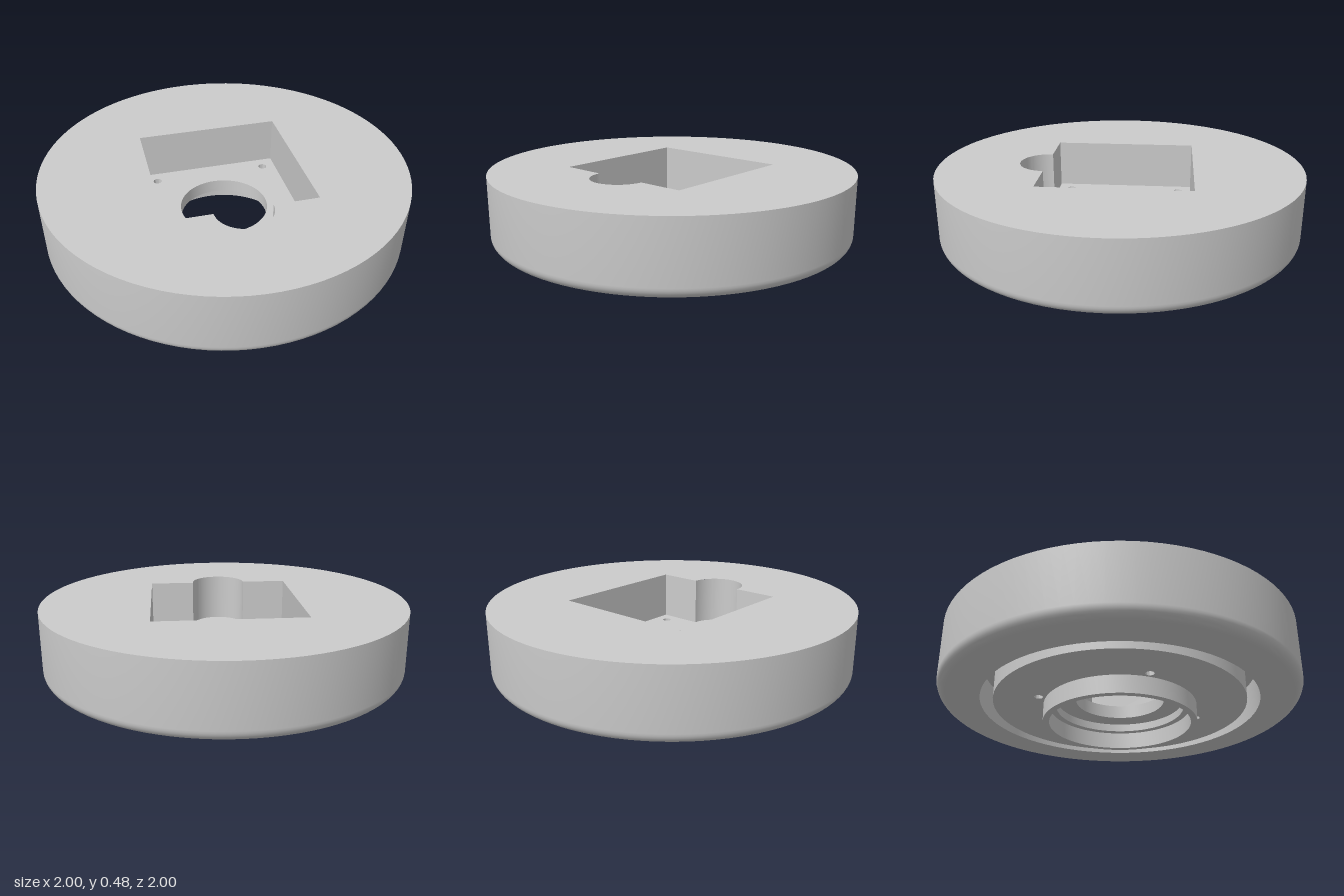
import * as THREE from 'three';
import { toCreasedNormals } from 'three/addons/utils/BufferGeometryUtils.js';

const TOP = 0.48, FLOOR = 0.213, BASE = 0.1;
const HOLE_R = 0.245, SCREW_R = 0.024, SCREW = 0.327, HALF = 0.403, NOTCH_R = 0.155;
const SEG = 96;

export function createModel() {
  const group = new THREE.Group();
  const material = new THREE.MeshStandardMaterial({ color: 0xcccccc });
  const add = (name, geometry) => {
    const mesh = new THREE.Mesh(geometry, material);
    mesh.name = name;
    group.add(mesh);
    return mesh;
  };

  // Turned surface with sharp corners; profile runs counterclockwise round the solid
  const turned = (points, segments = SEG) => toCreasedNormals(
    new THREE.LatheGeometry(points.map(([r, y]) => new THREE.Vector2(r, y)), segments), 0.5);

  // Flat horizontal face at height y, facing up or down
  const face = (shape, holes, y, up) => {
    shape.holes.push(...holes);
    return new THREE.ShapeGeometry(shape, SEG / 2)
      .rotateX(up ? -Math.PI / 2 : Math.PI / 2).translate(0, y, 0);
  };
  const circle = (r, x = 0, y = 0) => new THREE.Shape().absarc(x, y, r, 0, Math.PI * 2);
  const screwSpots = [[1, 1], [-1, 1], [-1, -1], [1, -1]].map(([a, b]) => [a * SCREW, b * SCREW]);
  const screwCircles = () => screwSpots.map(([x, y]) => circle(SCREW_R, x, y));

  // Square pocket outline with a round notch at the front
  const pocket = () => {
    const s = new THREE.Shape();
    s.moveTo(-HALF, HALF);
    s.lineTo(HALF, HALF);
    s.lineTo(HALF, -HALF);
    s.lineTo(NOTCH_R, -HALF);
    s.absarc(0, -HALF, NOTCH_R, 0, -Math.PI, true);
    s.lineTo(-HALF, -HALF);
    s.closePath();
    return s;
  };

  // Outer rim with rounded lower edge and the ring groove underneath
  const rim = [[0.7, BASE], [0.7, 0.3], [0.77, 0.3], [0.77, BASE]];
  for (let i = 0; i <= 8; i++) {
    const a = (i / 8) * Math.PI / 2;
    rim.push([0.94 + 0.06 * Math.sin(a), BASE + 0.06 - 0.06 * Math.cos(a)]);
  }
  rim.push([1, TOP]);
  add('outerRimAndGroove', turned(rim));

  // Hollow boss with stepped seat and central bore
  add('boss', turned([
    [HOLE_R, FLOOR], [HOLE_R, 0.138], [0.353, 0.138], [0.353, 0.094],
    [0.39, 0.094], [0.39, 0], [0.425, 0], [0.425, BASE],
  ]));

  // Flat faces
  add('topFace', face(circle(1), [pocket()], TOP, true));
  add('pocketFloor', face(pocket(), [circle(HOLE_R), ...screwCircles()], FLOOR, true));
  add('undersideFace', face(circle(0.7), [circle(0.425), ...screwCircles()], BASE, false));

  // Pocket walls: a strip bent along the outline
  const outline = pocket().getPoints(24);
  const strip = new THREE.PlaneGeometry(1, 1, outline.length - 1, 1);
  const pos = strip.attributes.position;
  for (let i = 0; i < pos.count; i++) {
    const p = outline[i % outline.length];
    pos.setXYZ(i, p.x, i < outline.length ? TOP : FLOOR, -p.y);
  }
  add('pocketWalls', toCreasedNormals(strip, 0.5));

  // Screw holes
  for (const [x, z] of screwSpots) {
    add('screwHole', turned([[SCREW_R, FLOOR], [SCREW_R, BASE]])).position.set(x, 0, z);
  }
  return group;
}
